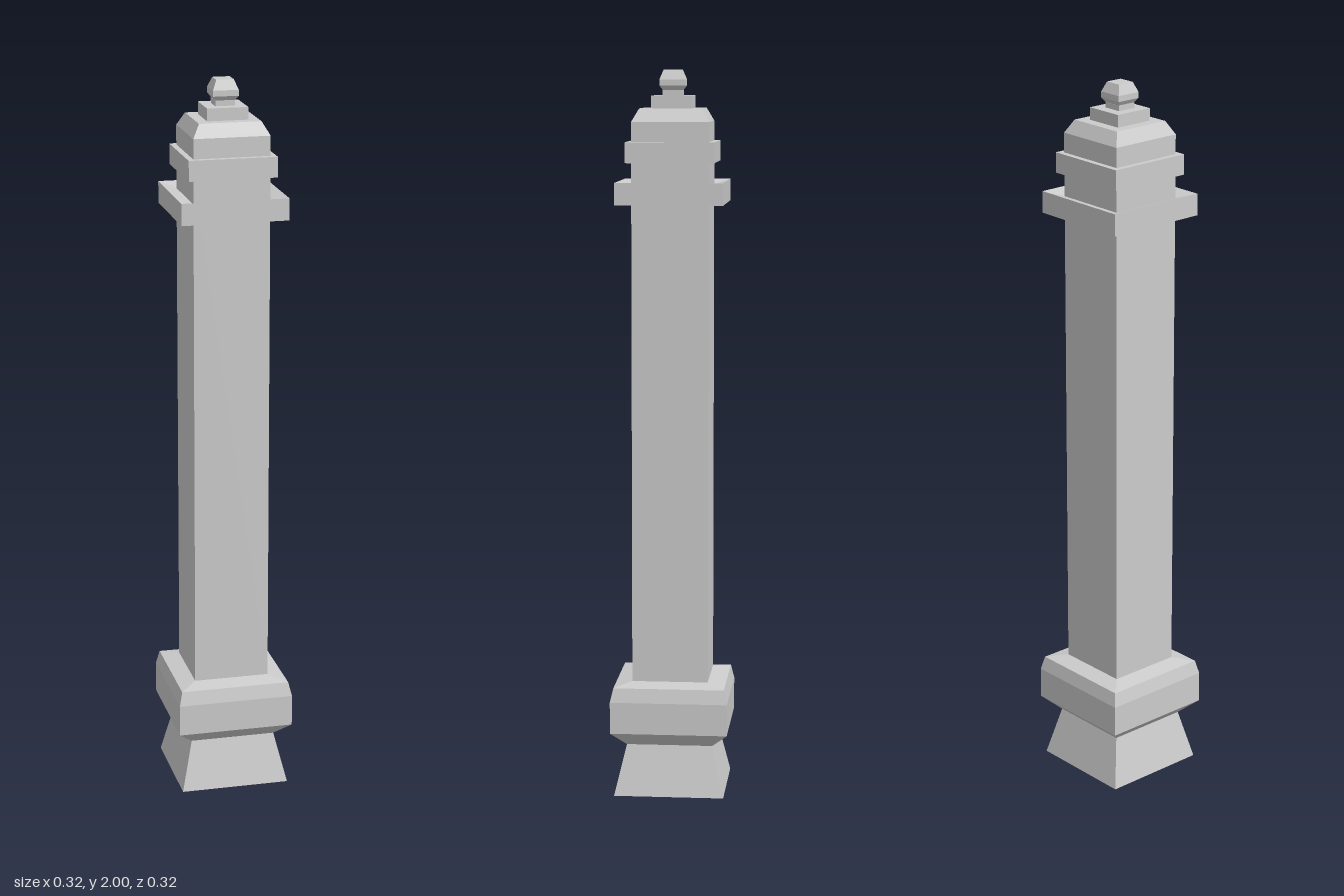
import * as THREE from 'three';

const material = new THREE.MeshStandardMaterial({ color: 0xcccccc, flatShading: true });

// Square stack: profile of [half width, height] pairs from bottom to top, closed at both ends
function squarePart(name, profile) {
  const first = profile[0], last = profile[profile.length - 1];
  const points = [[0, first[1]], ...profile, [0, last[1]]]
    .map(([w, y]) => new THREE.Vector2(w * Math.SQRT2, y));
  const geometry = new THREE.LatheGeometry(points, 4, Math.PI / 4).toNonIndexed();
  geometry.computeVertexNormals();
  const mesh = new THREE.Mesh(geometry, material);
  mesh.name = name;
  return mesh;
}

export function createModel() {
  const post = new THREE.Group();
  post.name = 'post';
  post.add(
    // tapered foot and the bevelled block above it
    squarePart('foot', [[0.152, 0], [0.119, 0.14]]),
    squarePart('baseBlock', [[0.119, 0.14], [0.162, 0.18], [0.162, 0.268], [0.153, 0.307], [0.105, 0.317]]),
    squarePart('shaft', [[0.105, 0.317], [0.105, 1.75]]),
    // collar with a slightly dished top
    squarePart('collar', [[0.105, 1.638], [0.147, 1.638], [0.147, 1.698], [0.105, 1.685]]),
    squarePart('upperBand', [[0.121, 1.75], [0.121, 1.806]]),
    squarePart('cap', [[0.105, 1.806], [0.105, 1.86], [0.085, 1.896]]),
    squarePart('capStep', [[0.056, 1.896], [0.056, 1.93]]),
    // finial knob on a short neck
    squarePart('finialNeck', [[0.027, 1.93], [0.027, 1.945]]),
    squarePart('finial', [[0.025, 1.943], [0.035, 1.957], [0.035, 1.973], [0.024, 2]])
  );
  return post;
}
